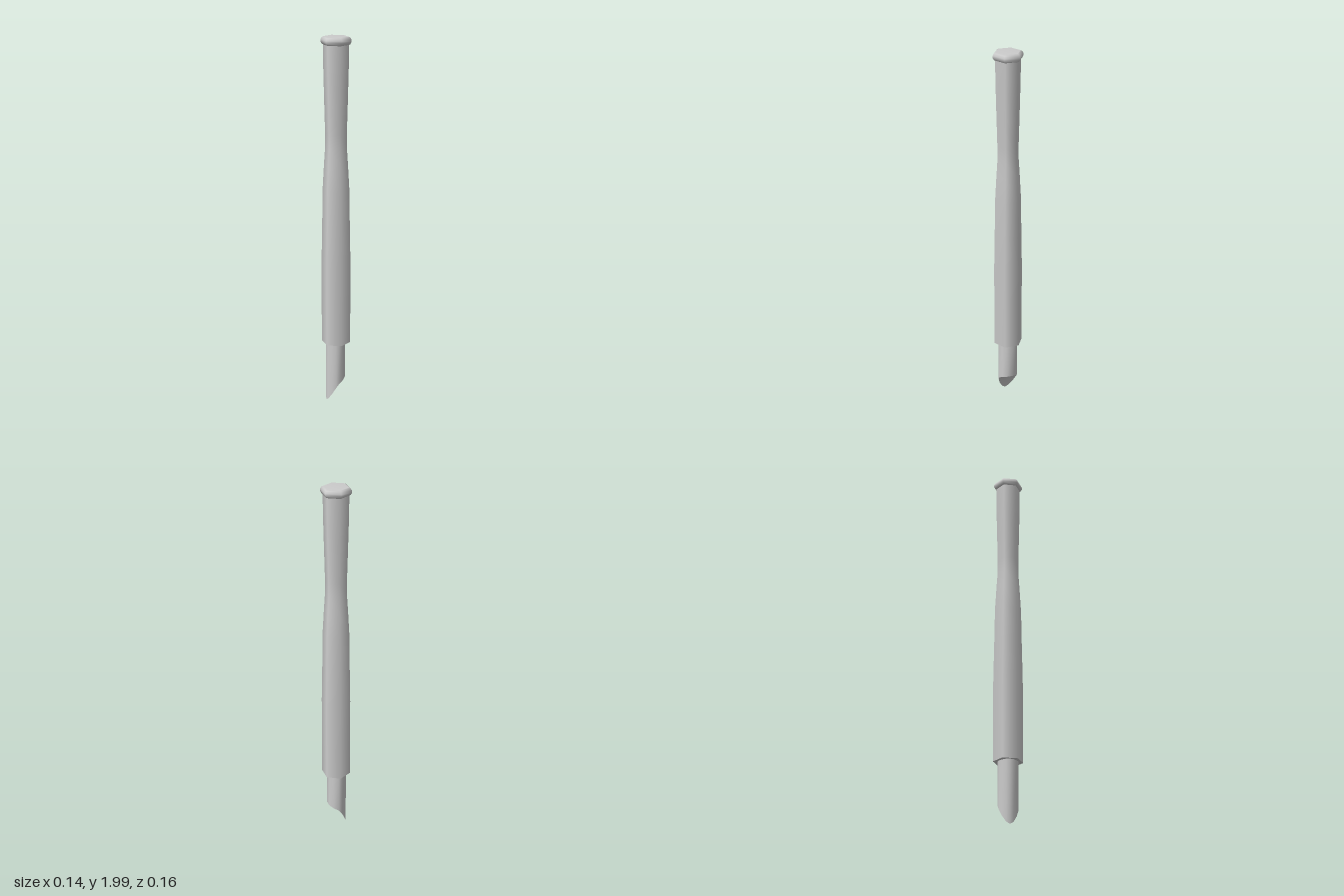
import * as THREE from 'three';
import { toCreasedNormals } from 'three/addons/utils/BufferGeometryUtils.js';

const material = new THREE.MeshStandardMaterial({ color: 0xcccccc });

function addMesh(group, geometry, name) {
  const mesh = new THREE.Mesh(geometry, material);
  mesh.name = name;
  group.add(mesh);
}

// Six-sided turned form with corners on +z and -z; profile is [radius, y] from the bottom up
function hexLathe(profile) {
  return new THREE.LatheGeometry(profile.map(([r, y]) => new THREE.Vector2(r, y)), 6);
}

// Rounded shank whose lower end is cut obliquely to a point at -x
function bladeGeometry(top) {
  // half outline from the tip to the far side: x, half width in z, height of the cut
  const half = [
    [-0.056, 0, 0.008], [-0.052, 0.018, 0.02], [-0.037, 0.037, 0.053],
    [-0.019, 0.049, 0.088], [0, 0.053, 0.115], [0.027, 0.042, 0.13], [0.046, 0.02, 0.14],
  ];
  const low = (i, side) => [half[i][0], half[i][2], half[i][1] * side];
  const high = (i, side) => [half[i][0], top, half[i][1] * side];
  const positions = [];
  const quad = (a, b, c, d) => positions.push(...a, ...b, ...c, ...a, ...c, ...d);

  for (let i = 0; i < half.length - 1; i++) {
    const j = i + 1;
    quad(low(i, 1), low(j, 1), high(j, 1), high(i, 1));       // wall at +z
    quad(low(j, -1), low(i, -1), high(i, -1), high(j, -1));   // wall at -z
    quad(low(i, 1), low(i, -1), low(j, -1), low(j, 1));       // oblique cut
  }
  const last = half.length - 1;
  quad(low(last, 1), low(last, -1), high(last, -1), high(last, 1));

  const geometry = new THREE.BufferGeometry();
  geometry.setAttribute('position', new THREE.Float32BufferAttribute(positions, 3));
  return toCreasedNormals(geometry, THREE.MathUtils.degToRad(50));
}

export function createModel() {
  const group = new THREE.Group();
  group.name = 'chisel';

  // Grip, waisted near the top
  addMesh(group, hexLathe([
    [0.078, 0.345], [0.078, 0.8], [0.074, 1.0], [0.071, 1.2], [0.063, 1.34],
    [0.057, 1.43], [0.057, 1.5], [0.061, 1.65], [0.066, 1.85], [0.067, 1.965],
  ]), 'handle');

  // Flat underside of the grip
  addMesh(group, hexLathe([[0, 0.345], [0.078, 0.345]]), 'handleBase');

  // Rounded rim and top
  addMesh(group, hexLathe([
    [0.064, 1.957], [0.073, 1.961], [0.08, 1.973], [0.08, 1.984], [0.073, 1.996], [0.064, 2.0], [0, 2.0],
  ]), 'endCap');

  addMesh(group, bladeGeometry(0.36), 'blade');
  return group;
}
